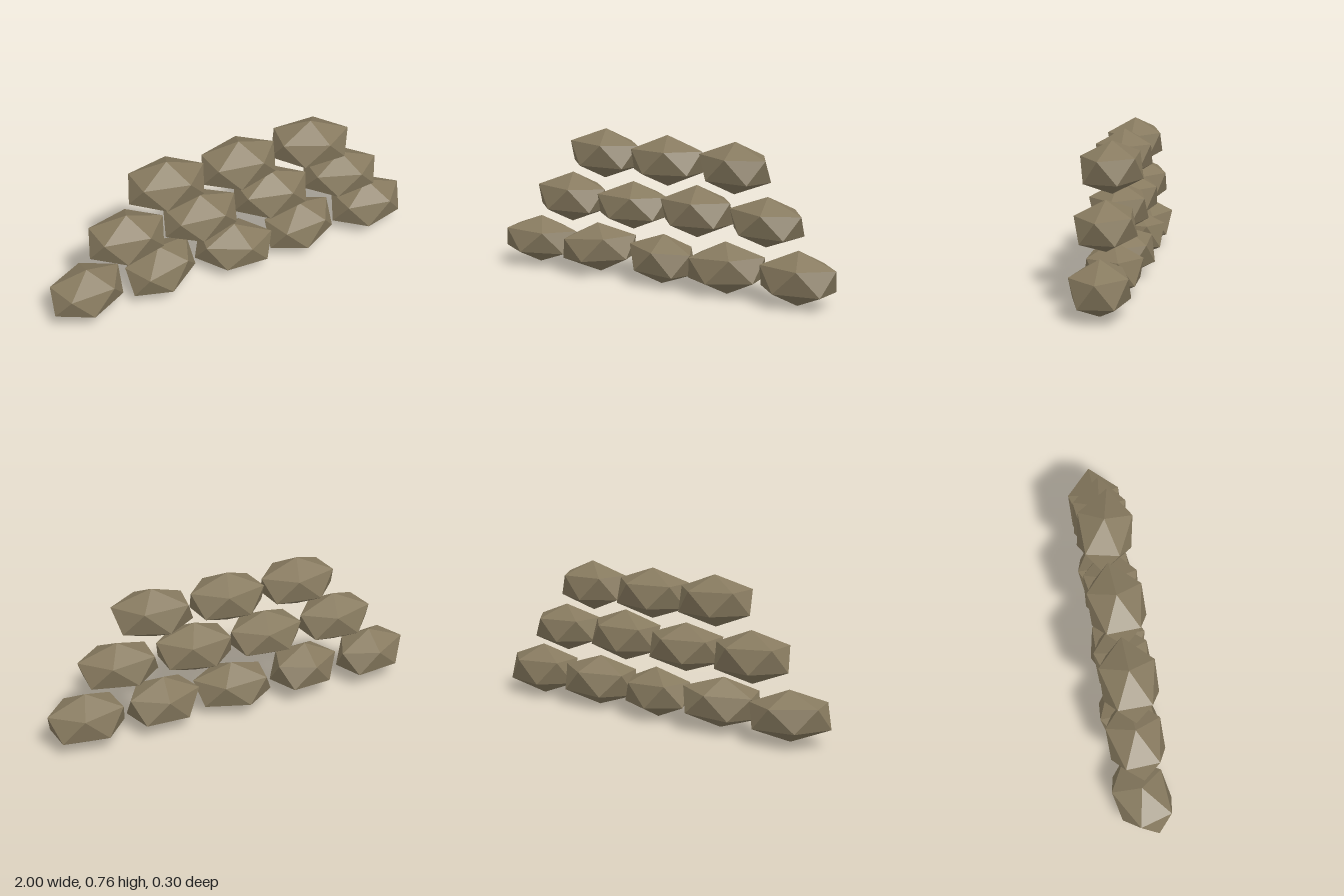
import * as THREE from 'three';

// Stones by course: centre x, centre y, half height, yaw, lean
const courses = {
  lowerStone: [
    [-0.81, 0.144, 0.126, 0.3, -0.04],
    [-0.41, 0.146, 0.128, 0.4, 0.07],
    [0.0, 0.134, 0.128, -0.22, -0.05],
    [0.385, 0.138, 0.131, 0.25, 0.04],
    [0.792, 0.14, 0.134, 0.04, -0.01],
  ],
  middleStone: [
    [-0.585, 0.395, 0.131, 0.07, -0.03],
    [-0.185, 0.39, 0.123, 0.1, 0],
    [0.21, 0.4, 0.131, -0.04, 0.01],
    [0.616, 0.39, 0.123, -0.1, -0.03],
  ],
  upperStone: [
    [-0.363, 0.643, 0.128, 0.03, -0.03],
    [0.03, 0.637, 0.128, 0.06, 0.01],
    [0.43, 0.634, 0.128, -0.2, -0.02],
  ],
};

export function createModel() {
  const model = new THREE.Group();
  model.name = 'stoneWall';

  const stone = new THREE.MeshStandardMaterial({ color: 0x877a5f, flatShading: true });
  stone.name = 'stone';

  // Twenty-sided stone standing on one corner, its first ring corner along +x
  const unit = new THREE.IcosahedronGeometry(1, 0);
  unit.rotateZ(-Math.atan(2 / (1 + Math.sqrt(5))));
  unit.computeVertexNormals();

  for (const [name, stones] of Object.entries(courses)) {
    stones.forEach(([x, y, height, yaw, lean], i) => {
      const mesh = new THREE.Mesh(unit, stone);
      mesh.name = `${name}${i + 1}`;
      mesh.scale.set(0.225, height, 0.16);
      mesh.rotation.set(0, yaw, lean, 'ZYX');
      mesh.position.set(x, y, 0);
      model.add(mesh);
    });
  }
  return model;
}
